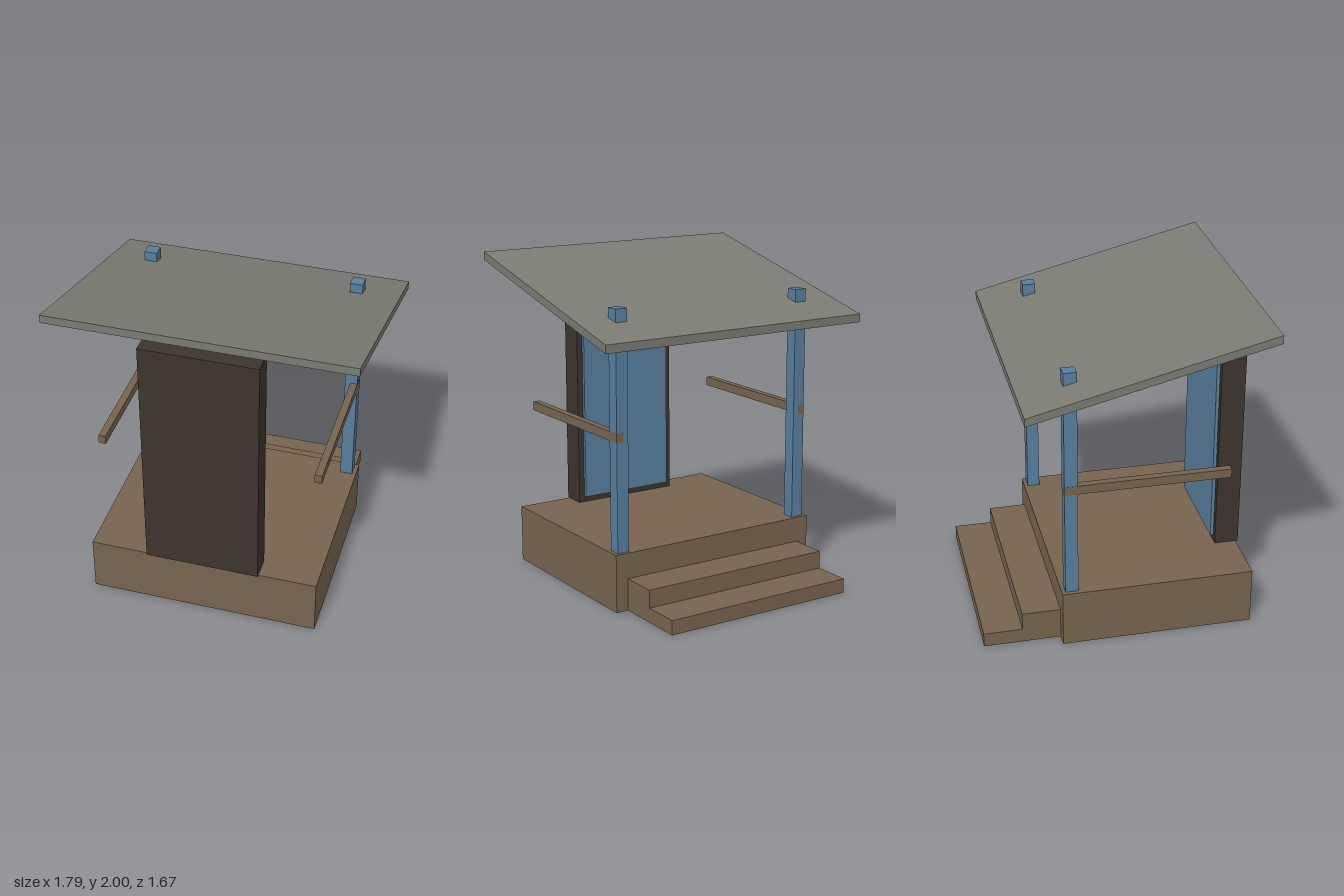
import * as THREE from 'three';

const wood = new THREE.MeshStandardMaterial({ name: 'brown wood', color: 0x77644f });
const darkWood = new THREE.MeshStandardMaterial({ name: 'dark door frame', color: 0x3d342c });
const blue = new THREE.MeshStandardMaterial({ name: 'blue paint', color: 0x587f9e });
const grey = new THREE.MeshStandardMaterial({ name: 'grey roofing', color: 0x7b7b74 });

// Box given by its extents along each axis
function block(name, material, [x0, x1], [y0, y1], [z0, z1]) {
  const mesh = new THREE.Mesh(new THREE.BoxGeometry(x1 - x0, y1 - y0, z1 - z0), material);
  mesh.position.set((x0 + x1) / 2, (y0 + y1) / 2, (z0 + z1) / 2);
  mesh.name = name;
  return mesh;
}

export function createModel() {
  const porch = new THREE.Group();
  porch.name = 'porch';

  // Platform and two steps
  porch.add(
    block('platform', wood, [-0.7, 0.7], [0, 0.353], [-0.367, 0.8]),
    block('upperStep', wood, [-0.622, 0.622], [0, 0.197], [-0.6, -0.367]),
    block('lowerStep', wood, [-0.622, 0.622], [0, 0.088], [-0.835, -0.6]),
  );

  // Door slab with a raised panel
  porch.add(
    block('doorFrame', darkWood, [-0.347, 0.347], [0.353, 1.87], [0.667, 0.815]),
    block('doorPanel', blue, [-0.31, 0.31], [0.39, 1.832], [0.647, 0.667]),
  );

  // Posts pass through the roof; rails run forward from them, a hair proud of the post faces
  for (const [side, s] of [['left', 1], ['right', -1]]) {
    const span = (a, b) => (s > 0 ? [a, b] : [-b, -a]);
    porch.add(
      block(side + 'Post', blue, span(0.598, 0.675), [0.353, 1.79], [-0.345, -0.267]),
      block(side + 'Rail', wood, span(0.632, 0.676), [1.015, 1.07], [-0.346, 0.647]),
    );
  }

  // Sloping roof with upright edges: a box sheared along its depth
  const roofGeometry = new THREE.BoxGeometry(1.786, 0.05, 1.435);
  const p = roofGeometry.attributes.position;
  for (let i = 0; i < p.count; i++) p.setY(i, p.getY(i) + p.getZ(i) * (0.35 / 1.435));
  roofGeometry.computeVertexNormals();
  const roof = new THREE.Mesh(roofGeometry, grey);
  roof.position.set(0, 1.8, 0.1175);
  roof.name = 'roof';
  porch.add(roof);

  return porch;
}
